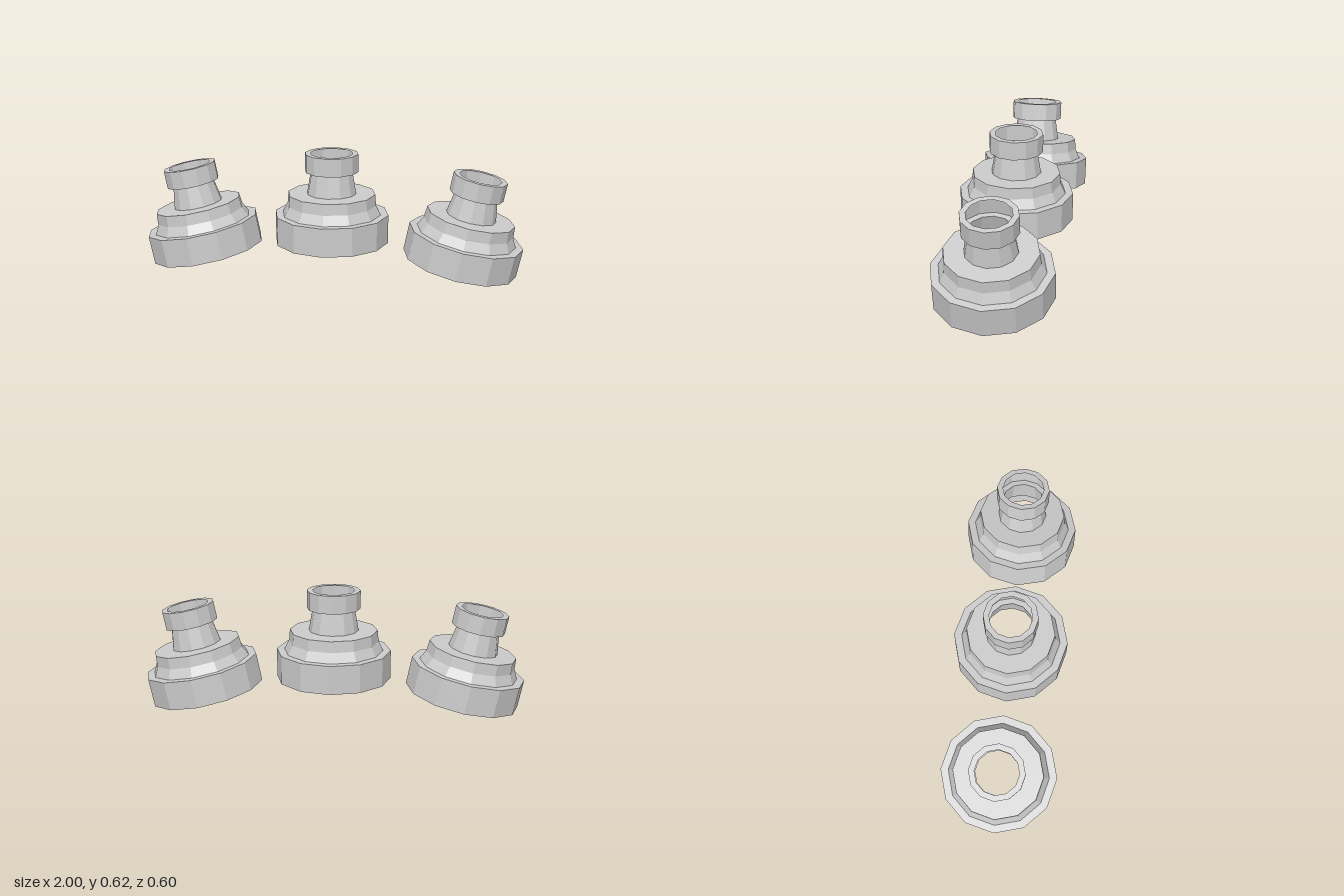
import * as THREE from 'three';

const SIDES = 12;

// Bell sections as [radius, height] profiles, each one an open thin shell
const SECTIONS = {
  skirt: [[0.3, 0], [0.3, 0.15], [0.26, 0.15]],
  shoulder: [[0.26, 0.15], [0.235, 0.2], [0.23, 0.258], [0.13, 0.258]],
  neck: [[0.13, 0.258], [0.11, 0.375]],
  collar: [[0.11, 0.375], [0.14, 0.375], [0.14, 0.47], [0.11, 0.47]],
};

const material = new THREE.MeshStandardMaterial({
  color: 0xcccccc,
  flatShading: true,
  side: THREE.DoubleSide,
});

function makeBell(name) {
  const bell = new THREE.Group();
  bell.name = name;
  for (const [part, profile] of Object.entries(SECTIONS)) {
    const points = profile.map(([r, y]) => new THREE.Vector2(r, y));
    const mesh = new THREE.Mesh(new THREE.LatheGeometry(points, SIDES), material);
    mesh.name = part;
    bell.add(mesh);
  }
  return bell;
}

export function createModel() {
  const model = new THREE.Group();
  model.name = 'bellTrio';

  // Upright bell, raised in the middle
  const middle = makeBell('middleBell');
  middle.position.y = 0.147;
  model.add(middle);

  // Outer bells lean away from the middle
  for (const side of [-1, 1]) {
    const bell = makeBell(side > 0 ? 'leftBell' : 'rightBell');
    bell.position.set(side * 0.676, 0.06, 0);
    bell.rotation.z = -side * 0.2;
    model.add(bell);
  }
  return model;
}
